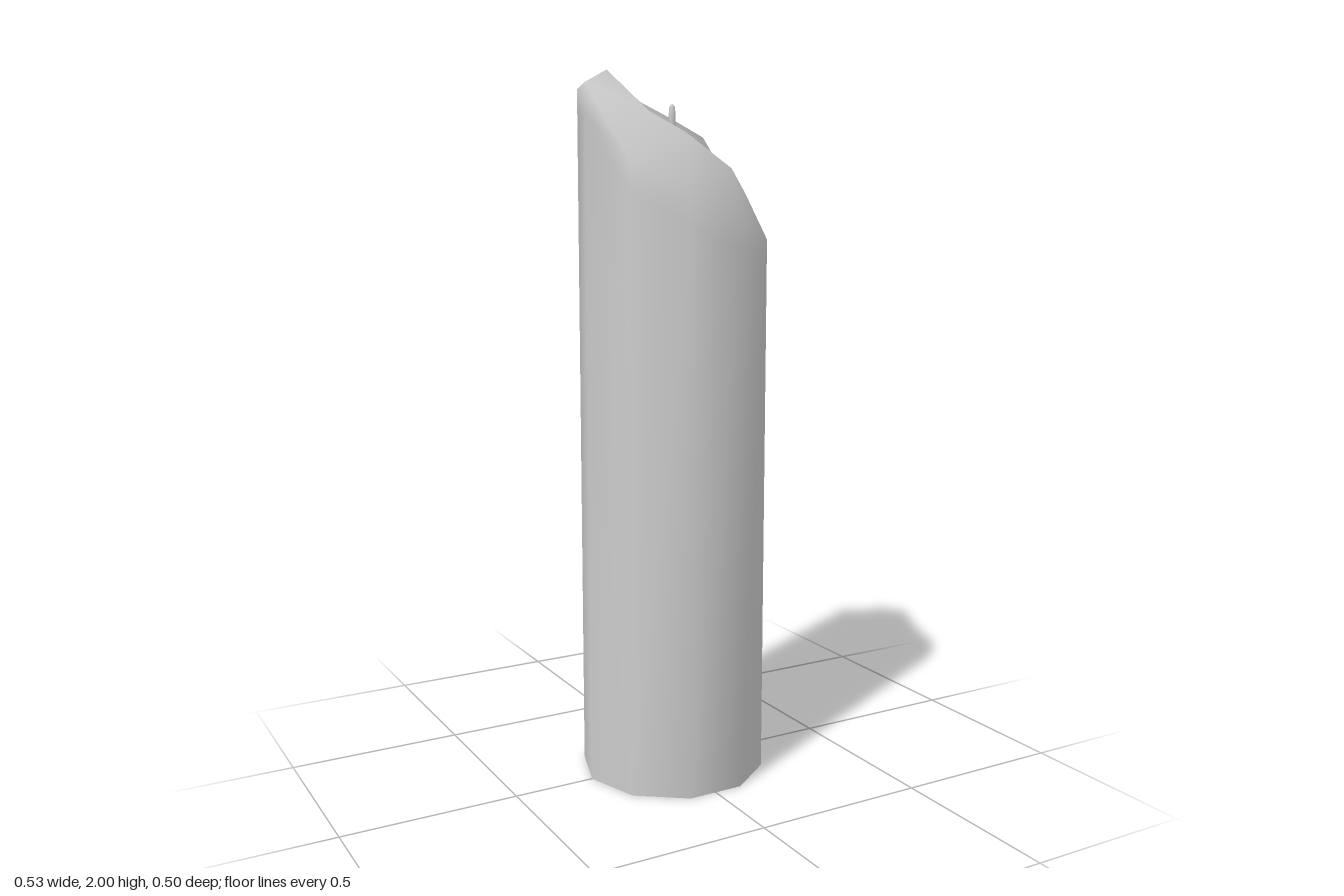
import * as THREE from 'three';

const SIDES = 10, RADIUS = 0.265;

// Height of the wax rim at each corner, every 36 degrees from +x towards +z
const rimHeights = [1.555, 1.54, 1.59, 1.66, 1.75, 1.955, 1.95, 1.91, 1.775, 1.646];

// Melted lip just inside the rim: x, y, z
const lip = [
  [0.21, 1.66, 0], [0.165, 1.665, 0.12], [0.07, 1.73, 0.2], [-0.07, 1.82, 0.2], [-0.15, 1.88, 0.13],
  [-0.2, 1.99, 0], [-0.135, 2.0, -0.14], [-0.06, 1.957, -0.2], [0.1, 1.885, -0.19], [0.185, 1.83, -0.145],
];

const corner = (i, y) => {
  const a = (i / SIDES) * Math.PI * 2;
  return [RADIUS * Math.cos(a), y, RADIUS * Math.sin(a)];
};

// Skins a stack of closed rings and closes the last one to a centre point
function skinRings(rings, centre) {
  const index = [], n = SIDES, last = (rings.length - 1) * n, tip = rings.length * n;
  for (let i = 0; i < n; i++) {
    const j = (i + 1) % n;
    for (let r = 0; r < last; r += n) {
      index.push(r + i, r + n + i, r + j, r + j, r + n + i, r + n + j);
    }
    index.push(last + i, tip, last + j);
  }
  const geometry = new THREE.BufferGeometry();
  geometry.setAttribute('position', new THREE.Float32BufferAttribute([...rings.flat(), centre].flat(), 3));
  geometry.setIndex(index);
  geometry.computeVertexNormals();
  return geometry;
}

export function createModel() {
  const group = new THREE.Group();
  group.name = 'candle';
  const material = new THREE.MeshStandardMaterial({ color: 0xcccccc });
  const add = (name, geometry) => {
    const mesh = new THREE.Mesh(geometry, material);
    mesh.name = name;
    group.add(mesh);
    return mesh;
  };

  // Wax column with its slanted, melted top
  const ring = (height) => rimHeights.map((y, i) => corner(i, height(y)));
  add('waxBody', skinRings([ring(() => 0), ring((y) => y - 0.08), ring((y) => y), lip], [0, 1.83, 0]));

  // Flat underside
  add('base', new THREE.CircleGeometry(RADIUS, SIDES).rotateX(Math.PI / 2));

  // Short wick with a tapered tip
  const wickProfile = [[0.009, 1.8], [0.01, 1.87], [0.008, 1.9], [0, 1.91]];
  add('wick', new THREE.LatheGeometry(wickProfile.map(([r, y]) => new THREE.Vector2(r, y)), 6));

  return group;
}
